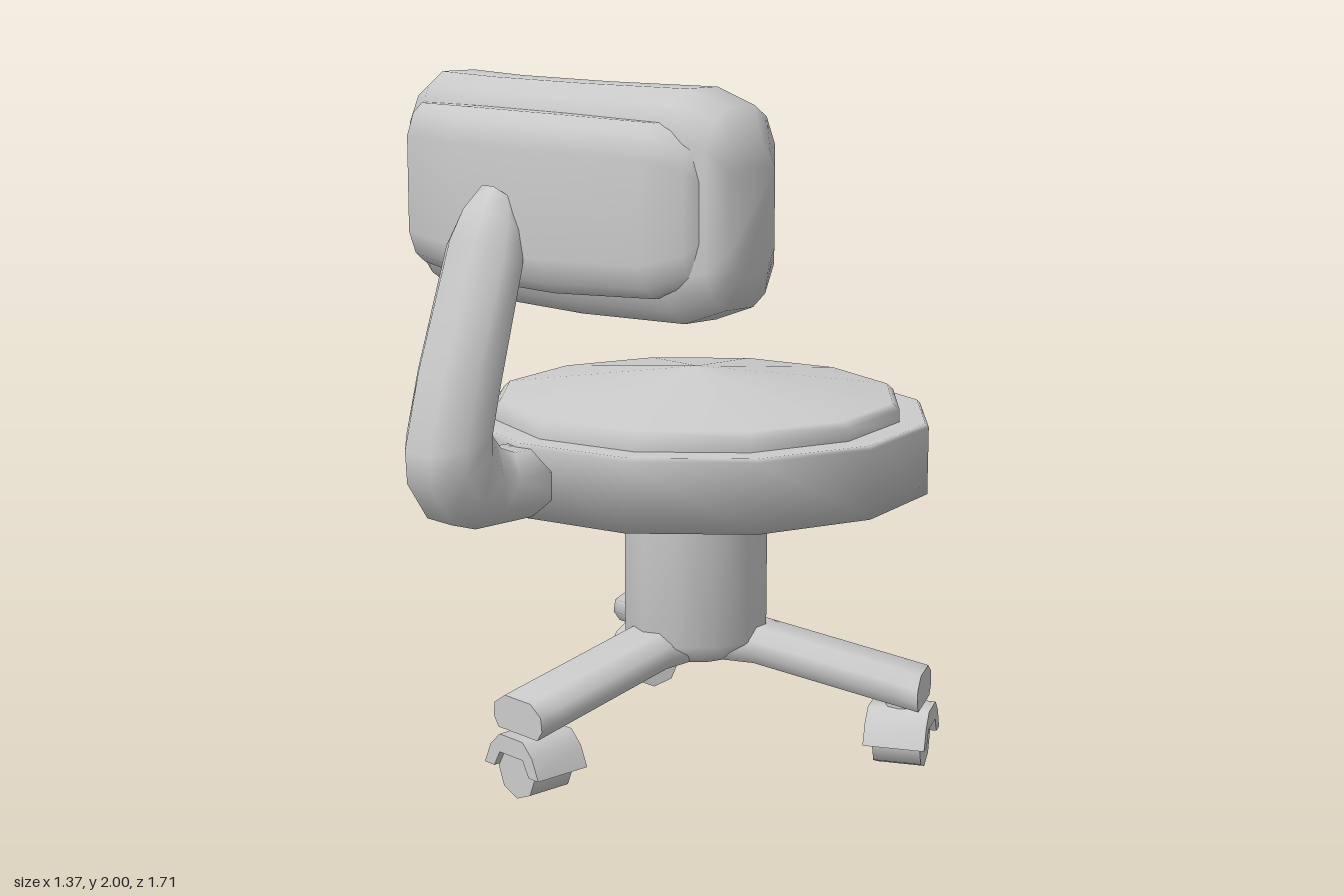
import * as THREE from 'three';
import { toCreasedNormals } from 'three/addons/utils/BufferGeometryUtils.js';

const grey = new THREE.MeshStandardMaterial({ color: 0xcccccc, side: THREE.DoubleSide });
const AXIS_Z = -0.17; // seat and column axis

function part(name, geometry, parent) {
  const mesh = new THREE.Mesh(geometry, grey);
  mesh.name = name;
  parent.add(mesh);
  return mesh;
}

// Closed skin over rings of [x, y, z] points (counter-clockwise about the travel direction)
function loft(rings, crease = Math.PI) {
  const n = rings[0].length;
  const last = (rings.length - 1) * n;
  const index = [];
  for (let i = 0; i < last; i += n) {
    for (let k = 0; k < n; k++) {
      const a = i + k, b = i + (k + 1) % n;
      index.push(a, b, b + n, a, b + n, a + n);
    }
  }
  for (let k = 1; k < n - 1; k++) {
    index.push(0, k + 1, k, last, last + k, last + k + 1);
  }
  const geometry = new THREE.BufferGeometry();
  geometry.setAttribute('position', new THREE.Float32BufferAttribute(rings.flat(2), 3));
  geometry.setIndex(index);
  geometry.computeVertexNormals();
  return crease < Math.PI ? toCreasedNormals(geometry, crease) : geometry;
}

function lathe(profile, segments) {
  return new THREE.LatheGeometry(profile.map(([r, y]) => new THREE.Vector2(r, y)), segments);
}

// Rounded-rectangle outline in unit size, counter-clockwise
const corner = [[1, 0.6], [0.75, 0.88], [0.4, 1]];
const flip = (pts, sx, sy) => pts.map(([a, b]) => [a * sx, b * sy]);
const back = corner.slice().reverse();
const rounded = [...corner, ...flip(back, -1, 1), ...flip(corner, -1, -1), ...flip(back, 1, -1)];

// Curved cushion: half stations [x, front z, back z, half height], mirrored in x
function cushion(stations, y) {
  const all = [
    ...stations.slice().reverse().map(([x, ...rest]) => [-x, ...rest]),
    ...stations,
  ];
  return loft(all.map(([x, front, rear, h]) => rounded.map(([d, v]) =>
    [x, y + v * h, (front + rear) / 2 - d * (rear - front) / 2])));
}

// One leg with its caster, pointing along +z from the column axis
function buildLeg() {
  const leg = new THREE.Group();
  const section = [[0.105, 0.03], [0.1, 0.07], [0.055, 0.1], [-0.055, 0.1],
    [-0.1, 0.07], [-0.105, 0.03], [-0.085, 0], [0.085, 0]];
  const rings = [[0.02, 0.297], [0.2, 0.293], [0.62, 0.205], [0.69, 0.19]].map(([z, y]) =>
    section.map(([sx, sy]) => [sx, y + sy, z]));
  part('legBeam', loft(rings, 0.9), leg);

  const caster = new THREE.Group();
  caster.name = 'caster';
  caster.position.z = 0.625;
  leg.add(caster);

  const stem = part('casterStem', new THREE.CylinderGeometry(0.05, 0.05, 0.07, 8), caster);
  stem.position.y = 0.195;

  // Arched hood above the wheel
  const outline = [[0.117, 0.085], [0.09, 0.145], [0.05, 0.183], [-0.05, 0.183],
    [-0.09, 0.145], [-0.117, 0.085], [-0.075, 0.085], [-0.05, 0.13], [0.05, 0.13], [0.075, 0.085]];
  const shape = new THREE.Shape(outline.map(([x, y]) => new THREE.Vector2(x, y)));
  const hood = new THREE.ExtrudeGeometry(shape, { depth: 0.18, bevelEnabled: false });
  hood.translate(0, 0, -0.09);
  part('casterHood', toCreasedNormals(hood, 0.9), caster);

  const wheel = part('casterWheel', new THREE.CylinderGeometry(0.08, 0.08, 0.14, 8), caster);
  wheel.rotation.x = Math.PI / 2;
  wheel.position.y = 0.08;
  return leg;
}

export function createModel() {
  const chair = new THREE.Group();
  chair.name = 'swivelChair';

  // Round seat pan with a raised, slightly peaked cushion
  const pan = part('seatPan', lathe([[0, 0.815], [0.685, 0.815], [0.685, 1.01],
    [0.675, 1.02], [0, 1.02]], 12), chair);
  const pad = part('seatCushion', lathe([[0.6, 1.015], [0.6, 1.055], [0.58, 1.073], [0, 1.15]], 12), chair);

  // Column and hub
  const column = part('column', lathe([[0, 0.295], [0.14, 0.295], [0.215, 0.36], [0.215, 0.82]], 12), chair);
  for (const mesh of [pan, pad, column]) mesh.position.z = AXIS_Z;

  // Three legs, one towards the backrest
  for (let i = 0; i < 3; i++) {
    const leg = buildLeg();
    leg.name = 'leg' + (i + 1);
    leg.position.z = AXIS_Z;
    leg.rotation.y = i * Math.PI * 2 / 3;
    chair.add(leg);
  }

  // Bent backrest arm: [inner z, inner y, outer z, outer y, half width]
  const armRings = [
    [0.44, 1.01, 0.44, 0.82, 0.11],
    [0.56, 1.01, 0.7, 0.82, 0.125],
    [0.61, 1.03, 0.78, 0.845, 0.13],
    [0.64, 1.07, 0.845, 0.95, 0.13],
    [0.635, 1.12, 0.85, 1.04, 0.13],
    [0.615, 1.2, 0.8, 1.25, 0.128],
    [0.54, 1.5, 0.69, 1.59, 0.122],
    [0.52, 1.58, 0.65, 1.67, 0.1],
    [0.52, 1.65, 0.6, 1.73, 0.055],
  ].map(([iz, iy, oz, oy, w]) => Array.from({ length: 8 }, (_, k) => {
    const a = (k + 0.5) * Math.PI / 4;
    const s = Math.sin(a) / Math.cos(Math.PI / 8);
    const t = (1 - s) / 2;
    return [w * Math.cos(a) / Math.cos(Math.PI / 8), iy + (oy - iy) * t, iz + (oz - iz) * t];
  }));
  part('backrestArm', loft(armRings), chair);

  // Curved backrest cushion and the shell behind it
  part('backrestCushion', cushion([
    [0.18, 0.25, 0.5, 0.305], [0.5, 0.155, 0.44, 0.303],
    [0.61, 0.14, 0.39, 0.26], [0.66, 0.19, 0.35, 0.17],
  ], 1.695), chair);
  part('backrestShell', cushion([
    [0.18, 0.4, 0.578, 0.235], [0.48, 0.32, 0.5, 0.225],
    [0.57, 0.29, 0.43, 0.18], [0.6, 0.3, 0.39, 0.12],
  ], 1.69), chair);

  return chair;
}
